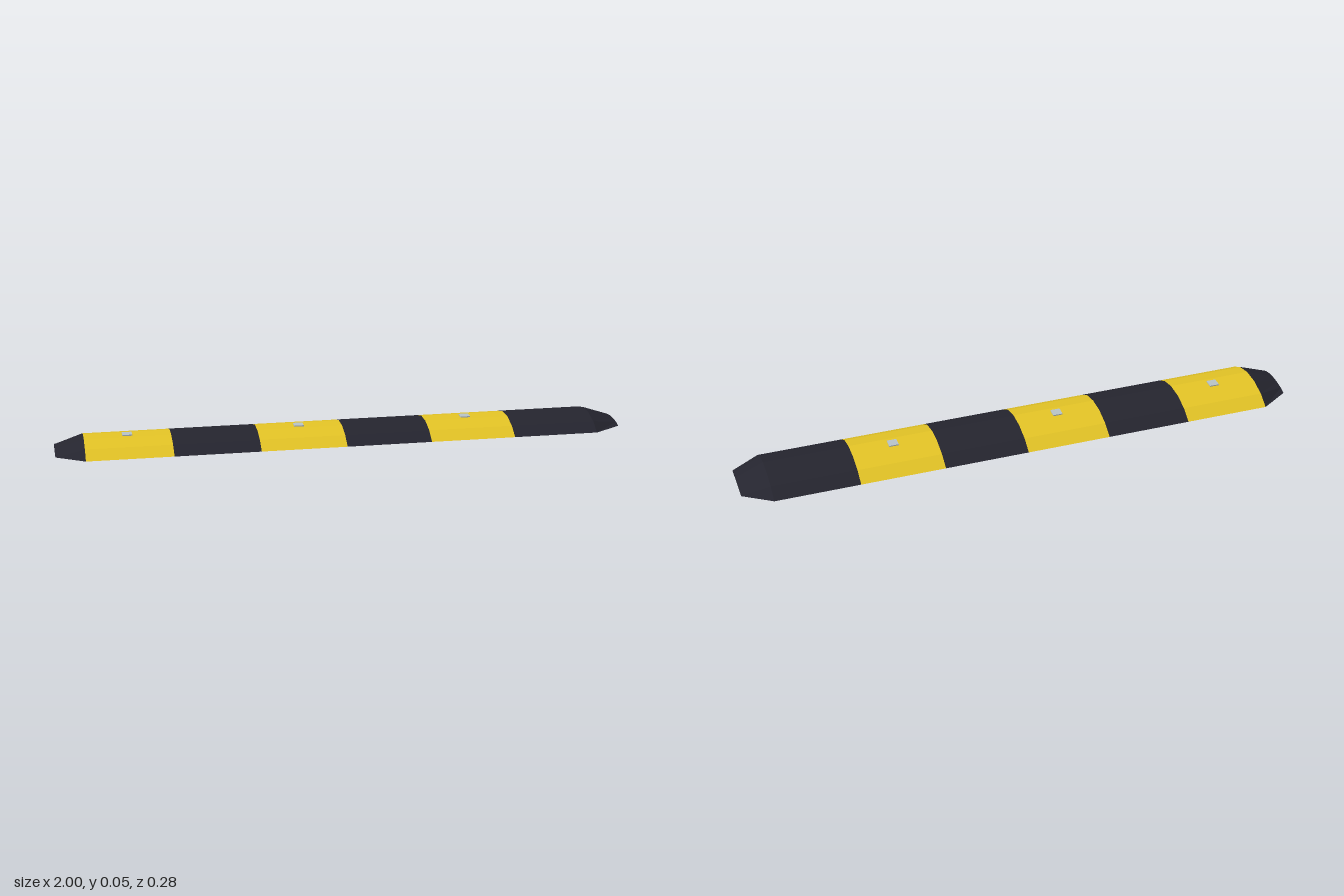
import * as THREE from 'three';

const yellow = new THREE.MeshStandardMaterial({ name: 'safetyYellow', color: 0xe6c626 });
const black = new THREE.MeshStandardMaterial({ name: 'rubberBlack', color: 0x25252f });
const grey = new THREE.MeshStandardMaterial({ name: 'reflectorGrey', color: 0xb8c4c8 });

// Half cross-section of the hump: [distance from centre, height]
const profile = [[0.14, 0], [0.093, 0.028], [0.032, 0.044]];

// Hump section between two x positions, scaled to [width, height] at each end
function humpSection(name, material, x0, x1, start = [1, 1], end = [1, 1]) {
  const points = [
    ...profile.map(([z, y]) => new THREE.Vector2(z, y)),
    ...profile.map(([z, y]) => new THREE.Vector2(-z, y)).reverse(),
  ];
  const geometry = new THREE.ExtrudeGeometry(new THREE.Shape(points), { depth: x1 - x0, bevelEnabled: false });
  geometry.rotateY(Math.PI / 2).translate(x0, 0, 0);
  const pos = geometry.attributes.position;
  for (let i = 0; i < pos.count; i++) {
    const [w, h] = pos.getX(i) < (x0 + x1) / 2 ? start : end;
    pos.setY(i, pos.getY(i) * h);
    pos.setZ(i, pos.getZ(i) * w);
  }
  geometry.computeVertexNormals();
  const mesh = new THREE.Mesh(geometry, material);
  mesh.name = name;
  return mesh;
}

export function createModel() {
  const group = new THREE.Group();
  group.name = 'speedBump';

  // Alternating bands, with a reflector on each yellow one
  for (let i = 0; i < 6; i++) {
    const x = -0.9 + i * 0.3;
    const isYellow = i % 2 === 0;
    group.add(humpSection(isYellow ? 'yellowBand' : 'blackBand', isYellow ? yellow : black, x, x + 0.3));
    if (isYellow) {
      const reflector = new THREE.Mesh(new THREE.BoxGeometry(0.034, 0.008, 0.034), grey);
      reflector.name = 'reflector';
      reflector.position.set(x + 0.15, 0.044, 0);
      group.add(reflector);
    }
  }

  // Tapered end caps
  const tip = [0.55, 0.25];
  group.add(humpSection('rightEndCap', black, -1, -0.9, tip, [1, 1]));
  group.add(humpSection('leftEndCap', black, 0.9, 1, [1, 1], tip));
  return group;
}
